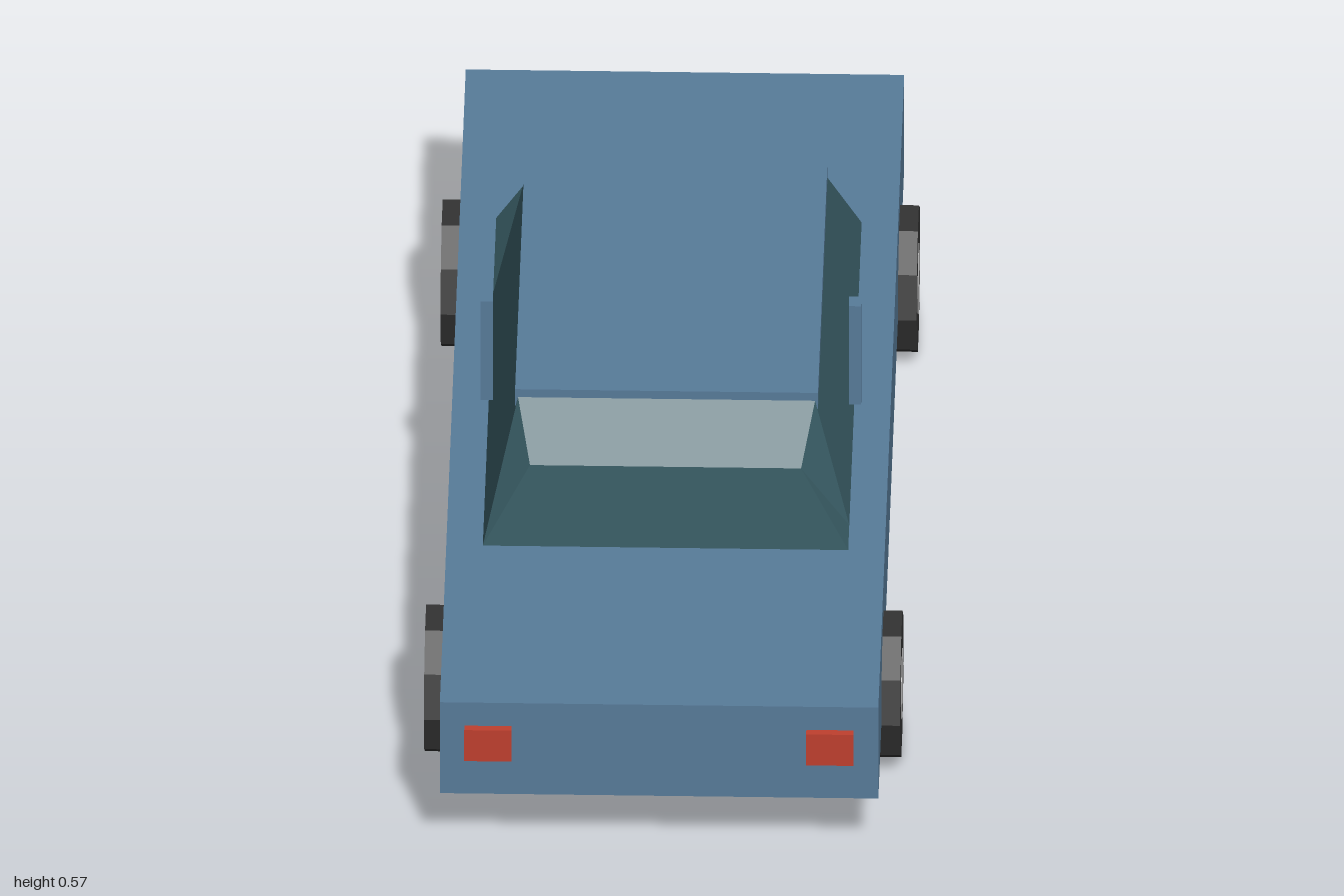
import * as THREE from 'three';

const mat = (color) => new THREE.MeshStandardMaterial({ color, flatShading: true });

export function createModel() {
  const car = new THREE.Group();
  car.name = 'car';
  const paint = mat(0x587c9a), glass = mat(0x3c616a), rubber = mat(0x333333);
  const metal = mat(0xb4b4b4), red = mat(0xc0402f), cream = mat(0xd8cda6);

  // Box given by its limits on each axis
  function box(name, material, [x0, x1], [y0, y1], [z0, z1], parent = car) {
    const mesh = new THREE.Mesh(new THREE.BoxGeometry(x1 - x0, y1 - y0, z1 - z0), material);
    mesh.position.set((x0 + x1) / 2, (y0 + y1) / 2, (z0 + z1) / 2);
    mesh.name = name;
    parent.add(mesh);
  }

  // Body and roof panel
  box('body', paint, [-0.372, 0.372], [0.12, 0.305], [-0.967, 0.974]);
  box('roof', paint, [-0.257, 0.257], [0.54, 0.573], [-0.282, 0.415]);

  // Glass cabin, lofted along z: [z, half width at top, height at top]
  const stations = [
    [-0.513, 0.24, 0.406],
    [-0.282, 0.252, 0.557],
    [0.415, 0.252, 0.557],
    [0.492, 0.23, 0.47],
  ];
  const positions = [], index = [];
  for (const [z, w, h] of stations) {
    positions.push(-0.31, 0.305, z, 0.31, 0.305, z, w, h, z, -w, h, z);
  }
  for (let s = 0; s < 3; s++) {
    for (let k = 0; k < 4; k++) {
      const a = s * 4 + k, b = s * 4 + (k + 1) % 4;
      index.push(a, b, b + 4, a, b + 4, a + 4);
    }
  }
  index.push(0, 2, 1, 0, 3, 2, 12, 13, 14, 12, 14, 15);
  const cabinGeometry = new THREE.BufferGeometry();
  cabinGeometry.setAttribute('position', new THREE.Float32BufferAttribute(positions, 3));
  cabinGeometry.setIndex(index);
  const flatCabin = cabinGeometry.toNonIndexed();
  flatCabin.computeVertexNormals();
  const cabin = new THREE.Mesh(flatCabin, glass);
  cabin.name = 'cabinGlass';
  car.add(cabin);

  // Bumper and grille
  box('bumper', metal, [-0.34, 0.34], [0.132, 0.166], [-1, -0.966]);
  box('grille', glass, [-0.16, 0.16], [0.18, 0.25], [-0.976, -0.966]);

  // Ten-sided wheels, lying along x
  const tyreGeometry = new THREE.CylinderGeometry(0.129, 0.129, 0.077, 10).rotateZ(Math.PI / 2);
  const hubGeometry = new THREE.CylinderGeometry(0.063, 0.063, 0.079, 10).rotateZ(Math.PI / 2);

  for (const side of [1, -1]) {
    const label = side > 0 ? 'left' : 'right';
    const span = (a, b) => (side > 0 ? [a, b] : [-b, -a]);

    box(label + 'DoorPillar', paint, span(0.302, 0.323), [0.34, 0.54], [0.068, 0.098]);
    box(label + 'Headlight', cream, span(0.2, 0.34), [0.218, 0.278], [-0.986, -0.966]);
    box(label + 'TailLight', red, span(0.25, 0.33), [0.203, 0.266], [0.986, 1]);

    for (const [end, z] of [['Front', -0.615], ['Rear', 0.628]]) {
      const wheel = new THREE.Group();
      wheel.name = label + end + 'Wheel';
      const tyre = new THREE.Mesh(tyreGeometry, rubber);
      tyre.name = 'tyre';
      const hub = new THREE.Mesh(hubGeometry, metal);
      hub.name = 'hub';
      wheel.add(tyre, hub);
      wheel.position.set(side * 0.3655, 0.1245, z);
      car.add(wheel);
    }
  }
  return car;
}
